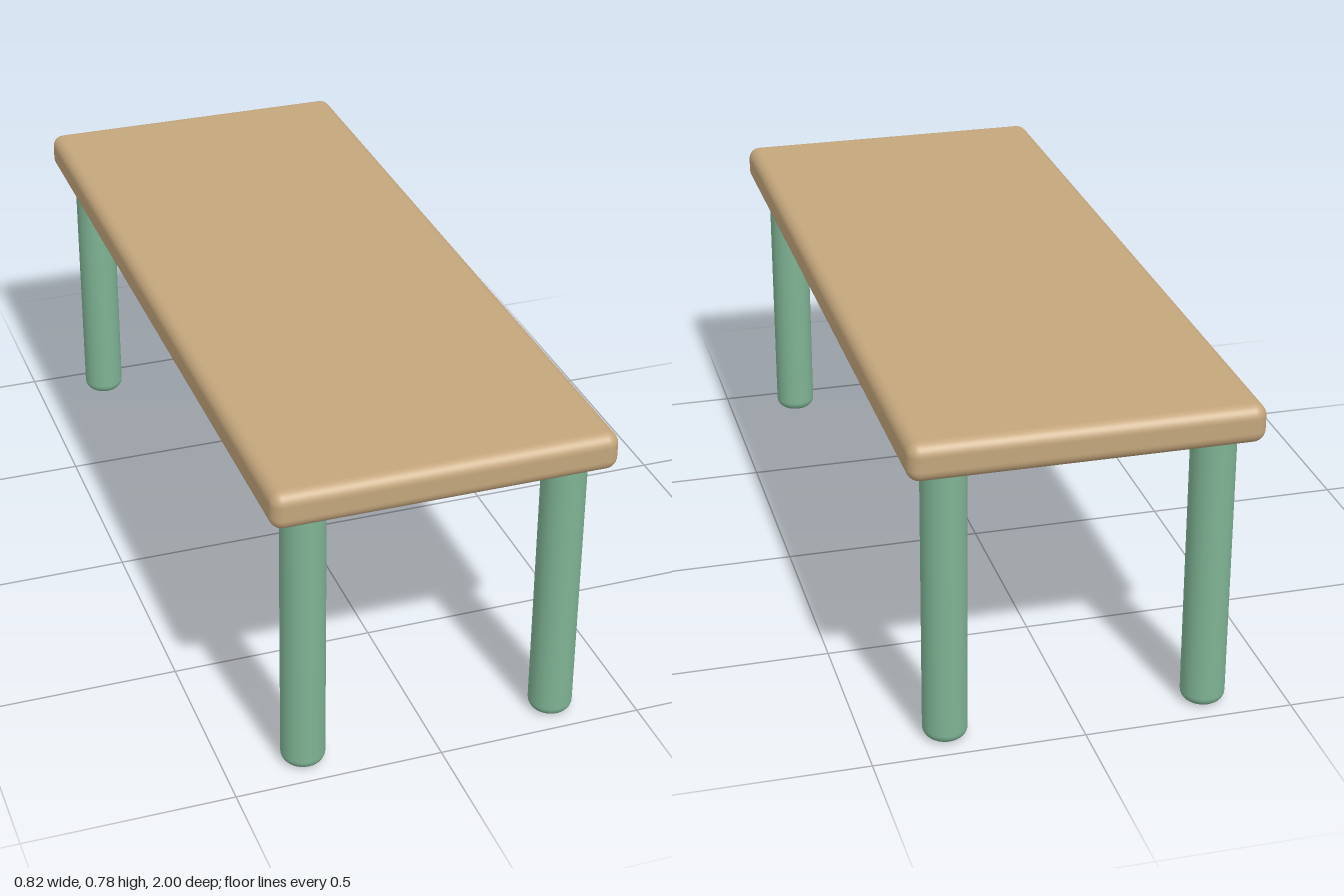
import * as THREE from 'three';
import { RoundedBoxGeometry } from 'three/addons/geometries/RoundedBoxGeometry.js';

export function createModel() {
  const model = new THREE.Group();
  model.name = 'table';

  const wood = new THREE.MeshStandardMaterial({ color: 0xc4a67c });
  wood.name = 'tan wood';
  const green = new THREE.MeshStandardMaterial({ color: 0x7fb394 });
  green.name = 'sage green';

  // Table top: a slab with rounded edges
  const bottom = 0.69, top = 0.783;
  const tableTop = new THREE.Mesh(new RoundedBoxGeometry(0.816, top - bottom, 2, 5, 0.03), wood);
  tableTop.name = 'tableTop';
  tableTop.position.y = (bottom + top) / 2;
  model.add(tableTop);

  // Legs: round posts with a softened foot, sunk slightly into the slab
  const r = 0.0525, round = 0.025;
  const profile = [new THREE.Vector2(0, 0)];
  for (let i = 0; i <= 6; i++) {
    const a = (i / 6) * Math.PI / 2;
    profile.push(new THREE.Vector2(r - round + round * Math.sin(a), round - round * Math.cos(a)));
  }
  profile.push(new THREE.Vector2(r, bottom + 0.01));
  const legGeometry = new THREE.LatheGeometry(profile, 32);

  for (const [end, z] of [['front', 0.913], ['back', -0.913]]) {
    for (const [side, x] of [['Left', 0.311], ['Right', -0.311]]) {
      const leg = new THREE.Mesh(legGeometry, green);
      leg.name = `${end}${side}Leg`;
      leg.position.set(x, 0, z);
      model.add(leg);
    }
  }
  return model;
}
